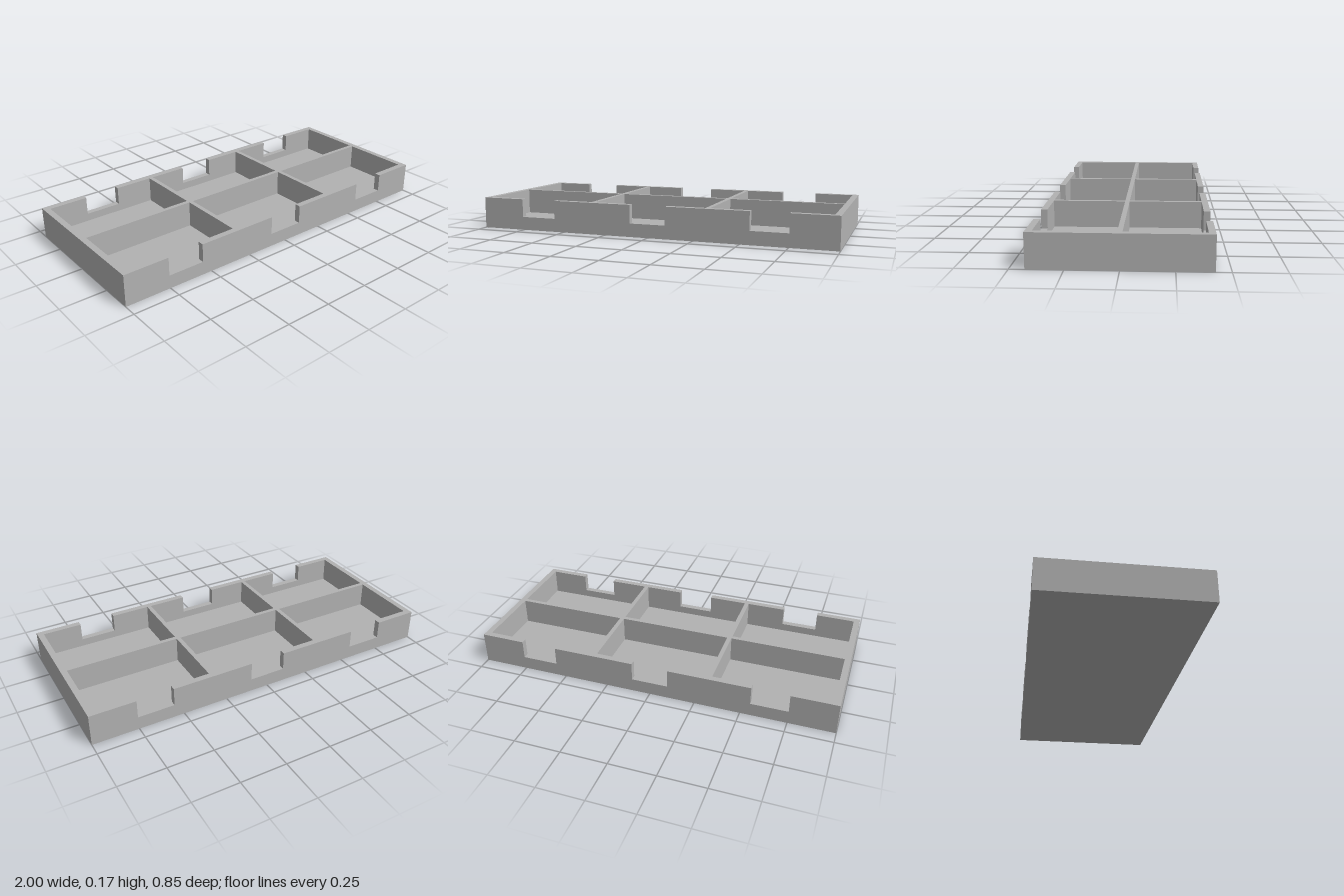
import * as THREE from 'three';

// Overall size, wall thicknesses and notch layout
const X = 1, Z = 0.427, H = 0.173;
const WALL = 0.033, DIVIDER = 0.024, FLOOR = 0.03;
const NOTCH_Y = 0.073, NOTCH_HALF = 0.1, NOTCH_X = [-0.653, 0, 0.653];
const DIVIDER_X = 0.326;

export function createModel() {
  const tray = new THREE.Group();
  tray.name = 'compartmentTray';
  const grey = new THREE.MeshStandardMaterial({ color: 0xb2b2b2 });
  grey.name = 'grey';

  const add = (name, geometry, x, y, z) => {
    const mesh = new THREE.Mesh(geometry, grey);
    mesh.name = name;
    mesh.position.set(x, y, z);
    tray.add(mesh);
  };
  const wallHeight = H - FLOOR, wallY = (H + FLOOR) / 2;
  const innerX = X - WALL, innerZ = Z - WALL;

  // Floor, fitted inside the outer walls
  add('floor', new THREE.BoxGeometry(2 * innerX, FLOOR, 2 * innerZ), 0, FLOOR / 2, 0);

  // Long walls with three square notches in the top edge
  const profile = new THREE.Shape();
  profile.moveTo(X, 0).lineTo(X, H);
  for (const x of [...NOTCH_X].reverse()) {
    profile.lineTo(x + NOTCH_HALF, H).lineTo(x + NOTCH_HALF, NOTCH_Y);
    profile.lineTo(x - NOTCH_HALF, NOTCH_Y).lineTo(x - NOTCH_HALF, H);
  }
  profile.lineTo(-X, H).lineTo(-X, 0).closePath();
  const longWall = new THREE.ExtrudeGeometry(profile, { depth: WALL, bevelEnabled: false });
  add('frontWall', longWall, 0, 0, innerZ);
  add('backWall', longWall, 0, 0, -Z);

  // End walls and cross dividers
  for (const side of [-1, 1]) {
    const label = side > 0 ? 'left' : 'right';
    add(label + 'EndWall', new THREE.BoxGeometry(WALL, H, 2 * innerZ), side * (X - WALL / 2), H / 2, 0);
    add(label + 'CrossDivider', new THREE.BoxGeometry(DIVIDER, wallHeight, 2 * innerZ), side * DIVIDER_X, wallY, 0);
  }

  // Lengthwise divider, one piece between each pair of cross walls
  const edges = [-innerX, -DIVIDER_X - DIVIDER / 2, -DIVIDER_X + DIVIDER / 2,
    DIVIDER_X - DIVIDER / 2, DIVIDER_X + DIVIDER / 2, innerX];
  for (let i = 0; i < 6; i += 2) {
    const [a, b] = [edges[i], edges[i + 1]];
    add('longDivider', new THREE.BoxGeometry(b - a, wallHeight, DIVIDER), (a + b) / 2, wallY, 0);
  }
  return tray;
}
